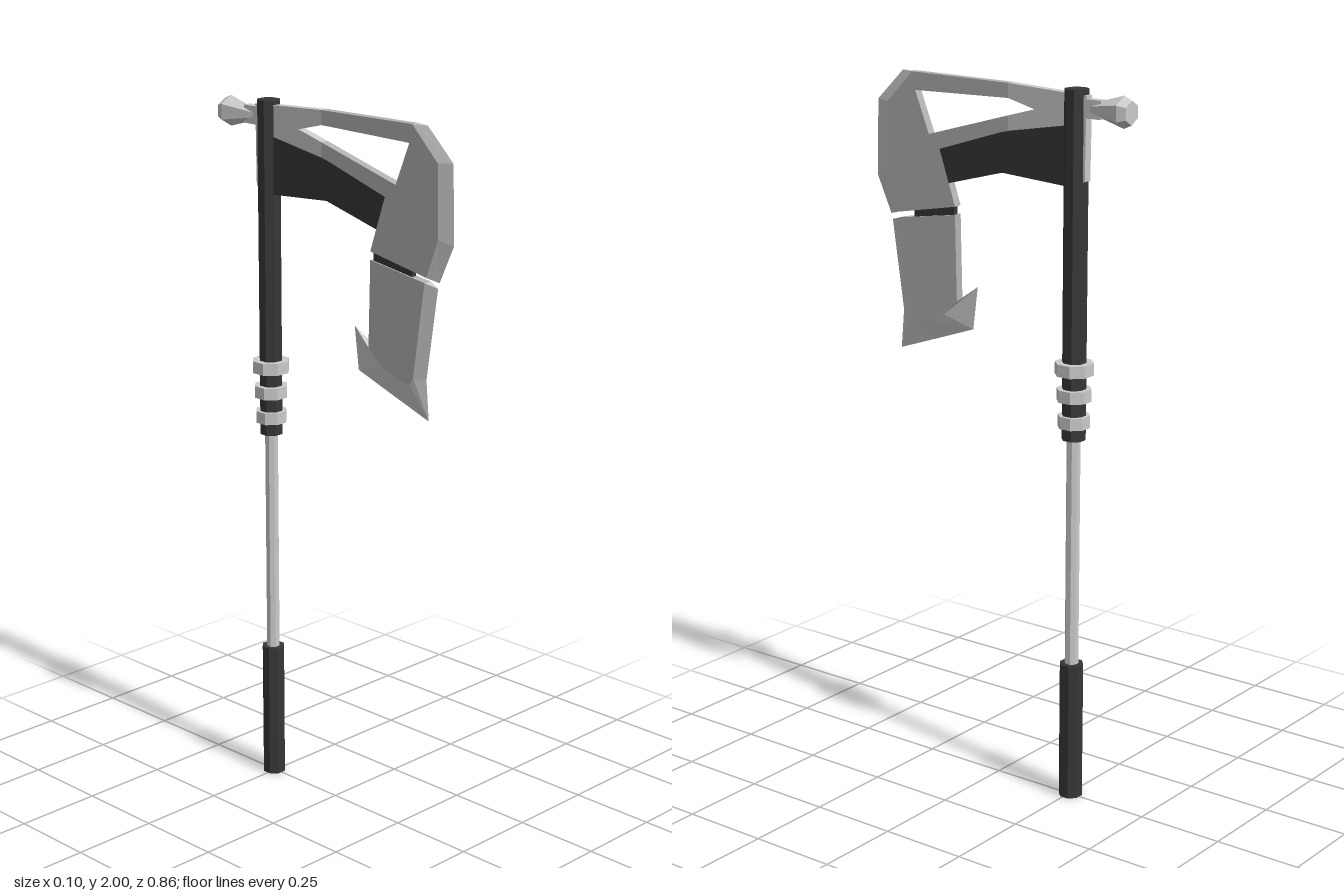
import * as THREE from 'three';

const SHAFT_Z = -0.255;
const HALF = 0.0125; // half thickness of the plates

const mat = (name, color, extra = {}) => {
  const m = new THREE.MeshStandardMaterial({ color, flatShading: true, ...extra });
  m.name = name;
  return m;
};

export function createModel() {
  const group = new THREE.Group();
  const dark = mat('dark grip', 0x363636);
  const steel = mat('steel', 0xb2b2b2);
  const light = mat('light steel', 0xcacaca, { side: THREE.DoubleSide });

  const add = (name, geometry, material) => {
    const mesh = new THREE.Mesh(geometry, material);
    mesh.name = name;
    group.add(mesh);
    return mesh;
  };

  // Flat plate cut from a (z, y) outline, centred on x = 0
  const plate = (name, points, material, half = HALF) => {
    const shape = new THREE.Shape(points.map(([z, y]) => new THREE.Vector2(z, y)));
    const geo = new THREE.ExtrudeGeometry(shape, { depth: half * 2, bevelEnabled: false });
    geo.translate(0, 0, -half).rotateY(-Math.PI / 2);
    return add(name, geo, material);
  };

  // Sharpened rim: both faces run from the plate border to a thin edge
  const rim = (name, inner, edge) => {
    const pos = [];
    const last = inner.length - 1;
    const at = (i, s) => [s * HALF, inner[i][1], inner[i][0]];
    const tip = (i) => [0, edge[i][1], edge[i][0]];
    const tri = (a, b, c) => pos.push(...a, ...b, ...c);
    for (let i = 0; i < last; i++) {
      for (const s of [1, -1]) {
        const [a, b, c, d] = [at(i, s), at(i + 1, s), tip(i + 1), tip(i)];
        if (s > 0) { tri(a, b, c); tri(a, c, d); } else { tri(a, c, b); tri(a, d, c); }
      }
    }
    tri(at(0, 1), tip(0), at(0, -1));
    tri(at(last, 1), at(last, -1), tip(last));
    const geo = new THREE.BufferGeometry();
    geo.setAttribute('position', new THREE.Float32BufferAttribute(pos, 3));
    geo.computeVertexNormals();
    add(name, geo, light);
  };

  // Octagonal rod with flats facing the axes; r is measured to the flats
  const rod = (name, r, y0, y1, material) => {
    const R = r / Math.cos(Math.PI / 8);
    const geo = new THREE.CylinderGeometry(R, R, y1 - y0, 8).rotateY(Math.PI / 8);
    add(name, geo, material).position.set(0, (y0 + y1) / 2, SHAFT_Z);
  };

  // Pole
  rod('lowerGrip', 0.031, 0, 0.4, dark);
  rod('innerShaft', 0.018, 0.39, 1.06, light);
  rod('upperShaft', 0.031, 1.05, 2, dark);
  [[1.249, 0.05], [1.176, 0.045], [1.102, 0.042]].forEach(([y, r], i) =>
    rod('collarRing' + (i + 1), r, y - 0.017, y + 0.017, light));

  // Upper blade with its open frame
  plate('upperBlade', [
    [0.29, 2], [-0.04, 1.997], [-0.04, 1.957], [0.28, 1.95], [0.233, 1.834],
    [-0.04, 1.911], [-0.04, 1.87], [0.195, 1.797], [0.164, 1.706],
    [0.143, 1.643], [0.345, 1.605], [0.385, 1.71], [0.38, 1.91],
  ], steel);
  rim('upperEdge',
    [[0.29, 2], [0.38, 1.91], [0.385, 1.71], [0.345, 1.605]],
    [[0.333, 2], [0.423, 1.913], [0.429, 1.7], [0.381, 1.595]]);
  plate('rearFrame', [
    [-0.04, 1.997], [-0.295, 1.985], [-0.292, 1.76], [-0.255, 1.745], [-0.255, 1.906],
    [-0.225, 1.902], [-0.04, 1.87], [-0.04, 1.911], [-0.127, 1.935], [-0.04, 1.957],
  ], light);

  // Dark brace under the frame, and the joint between the blades
  plate('brace', [
    [0.195, 1.797], [-0.02, 1.865], [-0.235, 1.903], [-0.235, 1.742],
    [-0.02, 1.755], [0.164, 1.706],
  ], dark, HALF + 0.0007);
  plate('bladeJoint', [
    [0.15, 1.65], [0.29, 1.625], [0.29, 1.59], [0.15, 1.61],
  ], dark, 0.008);

  // Lower blade with hooked tip
  plate('lowerBlade', [
    [0.339, 1.59], [0.143, 1.62], [0.138, 1.378], [0.185, 1.335],
    [0.243, 1.311], [0.291, 1.304], [0.302, 1.325],
  ], steel);
  rim('lowerEdge',
    [[0.339, 1.59], [0.302, 1.325], [0.291, 1.304], [0.243, 1.311], [0.185, 1.335], [0.138, 1.378]],
    [[0.376, 1.579], [0.339, 1.325], [0.349, 1.213], [0.22, 1.258], [0.09, 1.304], [0.074, 1.426]]);

  // Hammer knob on the back
  const neck = add('hammerNeck', new THREE.BoxGeometry(HALF * 2, 0.05, 0.08), light);
  neck.position.set(0, 1.952, -0.3);
  const profile = [[0, 0], [0.014, 0], [0.043, 0.1], [0.032, 0.124], [0, 0.124]]
    .map(([r, h]) => new THREE.Vector2(r, h));
  const hammer = new THREE.LatheGeometry(profile, 6).rotateY(Math.PI / 6).rotateX(-Math.PI / 2);
  add('hammerHead', hammer, light).position.set(0, 1.952, -0.305);
  hammer.rotateZ(Math.PI / 6);

  return group;
}
